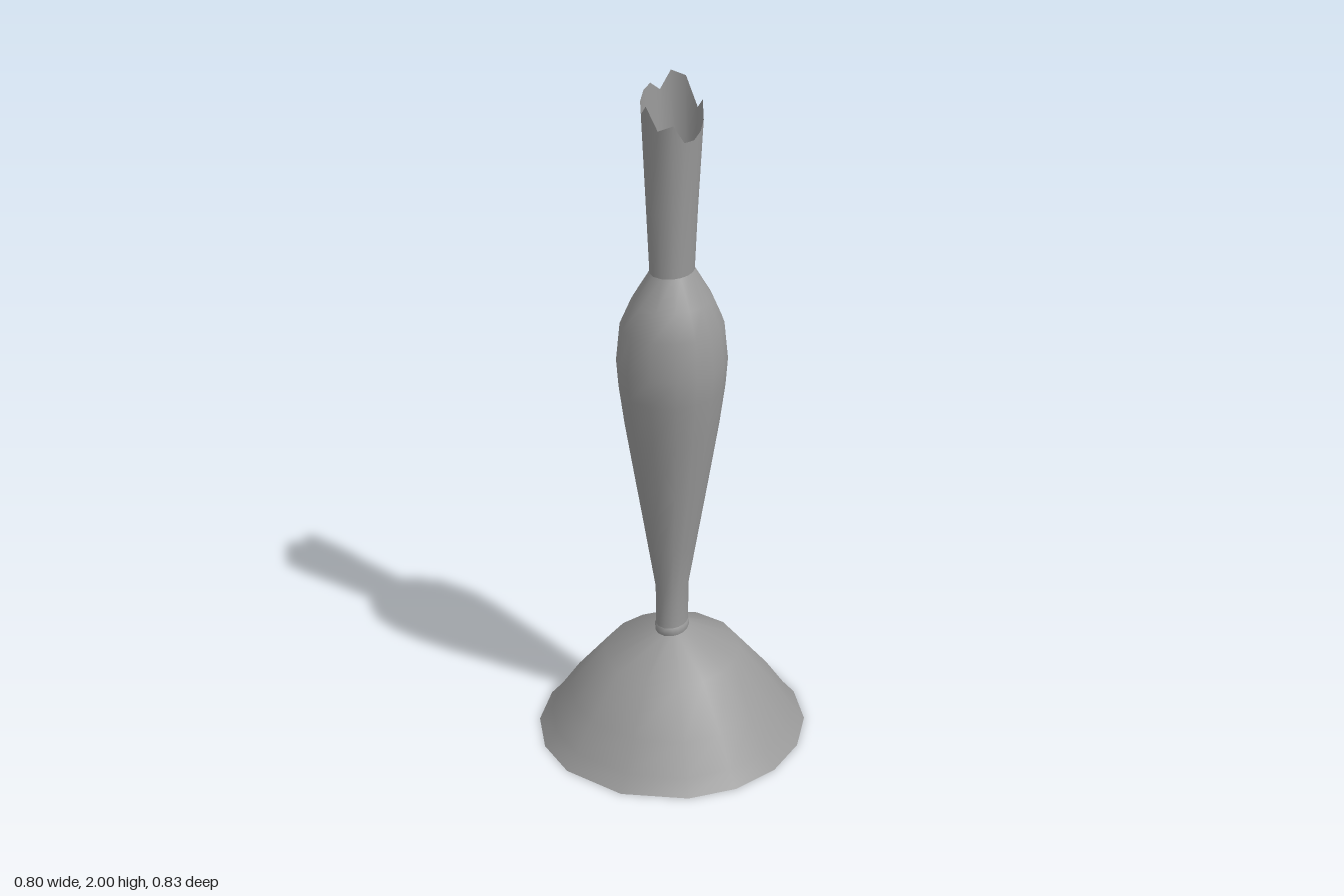
import * as THREE from 'three';

const SIDES = 16;
// One quadrant of the slightly pointed oval cross-section, as fractions of its radii
const QX = [1, 0.94, 0.755, 0.475, 0];
const QZ = [0, 0.35, 0.66, 0.883, 1];

// Unit section point k, running from +x towards +z
function sectionPoint(k) {
  const quadrant = Math.floor(k / 4), i = k % 4;
  const j = quadrant % 2 ? 4 - i : i;
  const sx = quadrant === 1 || quadrant === 2 ? -1 : 1;
  const sz = quadrant >= 2 ? -1 : 1;
  return [sx * QX[j], sz * QZ[j]];
}

// Skin through rings [y, x radius, z radius]; y may be a list with one height per side
function loft(name, rings) {
  const positions = [], index = [];
  rings.forEach(([y, rx, rz], r) => {
    for (let k = 0; k < SIDES; k++) {
      const [u, v] = sectionPoint(k);
      positions.push(u * rx, Array.isArray(y) ? y[k] : y, v * rz);
      if (r === rings.length - 1) continue;
      const a = r * SIDES + k, b = r * SIDES + (k + 1) % SIDES;
      index.push(a, a + SIDES, b, b, a + SIDES, b + SIDES);
    }
  });
  const geometry = new THREE.BufferGeometry();
  geometry.setAttribute('position', new THREE.Float32BufferAttribute(positions, 3));
  geometry.setIndex(index);
  geometry.computeVertexNormals();
  const material = new THREE.MeshStandardMaterial({ color: 0x999999, side: THREE.DoubleSide });
  const mesh = new THREE.Mesh(geometry, material);
  mesh.name = name;
  return mesh;
}

export function createModel() {
  const group = new THREE.Group();
  group.name = 'brokenBottleneckVase';

  // Domed foot with a flat underside and a closed top
  group.add(loft('footUnderside', [[0, 0, 0], [0, 0.4, 0.414]]));
  group.add(loft('footDome', [
    [0, 0.4, 0.414], [0.045, 0.362, 0.376], [0.13, 0.304, 0.318],
    [0.255, 0.2, 0.214], [0.33, 0.045, 0.06],
  ]));
  group.add(loft('footTop', [[0.33, 0.045, 0.06], [0.33, 0, 0]]));

  // Small collar between foot and stem
  group.add(loft('collar', [
    [0.325, 0.046, 0.061], [0.335, 0.048, 0.064], [0.347, 0.048, 0.064], [0.355, 0.043, 0.059],
  ]));

  // Slender stem swelling into the belly
  group.add(loft('body', [
    [0.355, 0.046, 0.062], [0.475, 0.046, 0.062], [0.62, 0.07, 0.086],
    [0.82, 0.103, 0.119], [1.0, 0.132, 0.149], [1.12, 0.148, 0.166],
    [1.2, 0.154, 0.172], [1.31, 0.143, 0.16], [1.385, 0.11, 0.127],
    [1.467, 0.06, 0.078],
  ]));

  // Flared neck with a jagged broken rim, heights listed from +x towards +z
  const rim = [
    1.87, 1.855, 1.855, 1.905, 1.89, 1.95, 1.92, 1.945,
    1.965, 1.975, 1.95, 2.0, 1.985, 1.905, 1.935, 1.89,
  ];
  group.add(loft('brokenNeck', [
    [1.467, 0.06, 0.078], [1.65, 0.068, 0.088], [rim, 0.081, 0.105],
  ]));

  return group;
}
